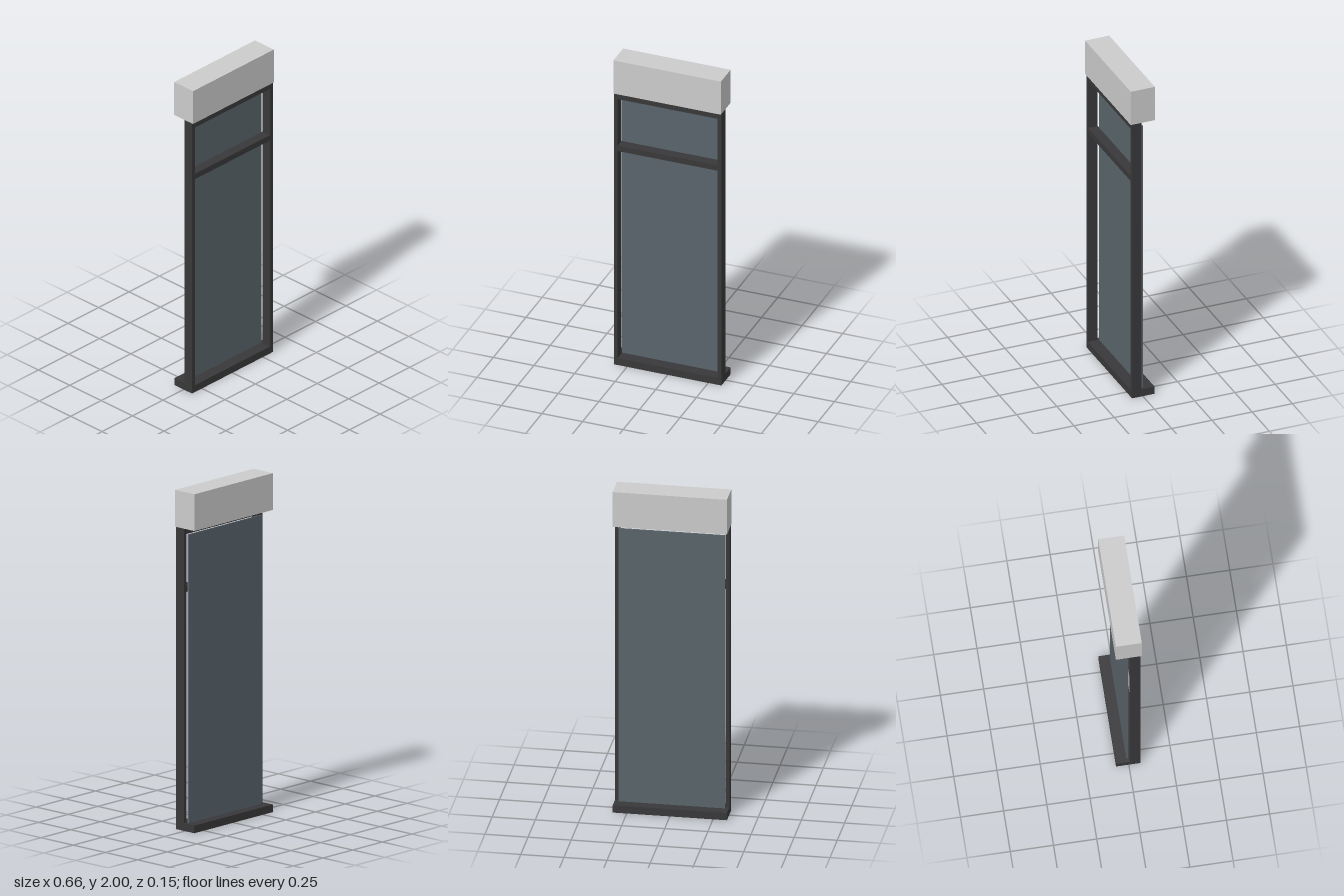
import * as THREE from 'three';

const header = new THREE.MeshStandardMaterial({ color: 0xcccccc });
const frame = new THREE.MeshStandardMaterial({ color: 0x38383a });
const glass = new THREE.MeshStandardMaterial({ color: 0x5a646b });

// Box given by its extents along each axis
function block(name, material, [x0, x1], [y0, y1], [z0, z1]) {
  const mesh = new THREE.Mesh(new THREE.BoxGeometry(x1 - x0, y1 - y0, z1 - z0), material);
  mesh.position.set((x0 + x1) / 2, (y0 + y1) / 2, (z0 + z1) / 2);
  mesh.name = name;
  return mesh;
}

export function createModel() {
  const model = new THREE.Group();
  model.name = 'glazedPanel';

  const W = 0.331, inner = 0.308;   // half widths outside and inside the frame
  const sillTop = 0.045, headBottom = 1.783, railBottom = 1.747;
  const depth = [0.007, 0.067];     // front and back of the frame

  // Header box and projecting sill
  model.add(block('headerBox', header, [-W, W], [headBottom, 2], [-0.075, 0.075]));
  model.add(block('sill', frame, [-W, W], [0, sillTop], [-0.074, depth[1]]));

  // Frame: two stiles, top rail and transom
  model.add(block('leftStile', frame, [inner, W], [sillTop, headBottom], depth));
  model.add(block('rightStile', frame, [-W, -inner], [sillTop, headBottom], depth));
  model.add(block('topRail', frame, [-inner, inner], [railBottom, headBottom], depth));
  model.add(block('transom', frame, [-inner, inner], [1.406, 1.441], depth));

  // Single pane standing just behind the frame
  model.add(block('glassPane', glass, [-inner, inner], [sillTop, railBottom], [-0.011, -0.002]));

  return model;
}
